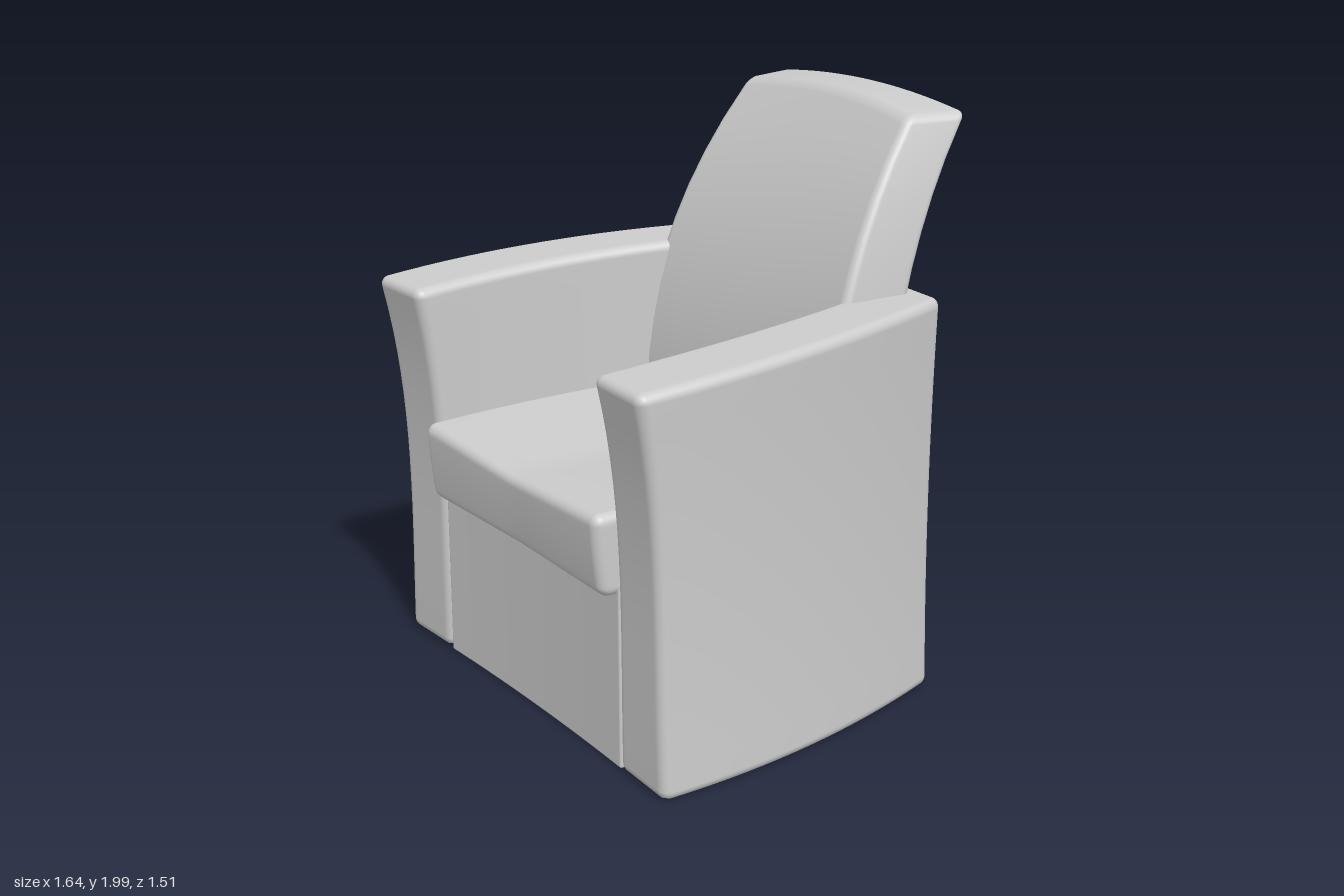
import * as THREE from 'three';
import { mergeVertices } from 'three/addons/utils/BufferGeometryUtils.js';

const material = new THREE.MeshStandardMaterial({ color: 0xcccccc, side: THREE.DoubleSide });
const lerp = THREE.MathUtils.lerp;

// Smooth polynomial through a few [t, value] points.
const through = (...pts) => (t) =>
  pts.reduce((sum, [a, va], i) =>
    sum + pts.reduce((k, [b], j) => (i === j ? k : (k * (t - b)) / (a - b)), va), 0);

// Cushion: a rounded box of nominal size whose points are bent by
// warp(u, v, w), u in -1..1 (across), v and w in 0..1 (up, back to front).
// An open cushion has no underside.
function cushion(name, [sx, sy, sz], r, open, warp) {
  const n = 24, k = 4;
  const geo = new THREE.BoxGeometry(1, 1, 1, n, n, n);
  geo.deleteAttribute('normal');
  geo.deleteAttribute('uv');
  if (open) {
    const { start, count } = geo.groups[3];
    const index = Array.from(geo.index.array);
    index.splice(start, count);
    geo.setIndex(index);
  }
  geo.clearGroups();
  const half = new THREE.Vector3(sx / 2, sy / 2, sz / 2);
  const core = half.clone().subScalar(r);
  const p = new THREE.Vector3(), inner = new THREE.Vector3();

  // The first and last k grid steps are spent on the rounded edge.
  const place = (t, c) => {
    const i = Math.round((t + 0.5) * n) - n / 2;
    const flat = n / 2 - k;
    const over = Math.abs(i) - flat;
    if (over <= 0) return (i / flat) * c;
    return Math.sign(i) * (c + r * Math.tan((over / k) * Math.PI / 4));
  };

  const pos = geo.attributes.position;
  for (let i = 0; i < pos.count; i++) {
    p.fromBufferAttribute(pos, i);
    p.set(place(p.x, core.x), place(p.y, core.y), place(p.z, core.z));
    inner.copy(p).clamp(core.clone().negate(), core);
    p.sub(inner).setLength(r).add(inner).divide(half);
    pos.setXYZ(i, ...warp(p.x, (p.y + 1) / 2, (p.z + 1) / 2));
  }
  const merged = mergeVertices(geo, 1e-5);
  merged.computeVertexNormals();
  const mesh = new THREE.Mesh(merged, material);
  mesh.name = name;
  return mesh;
}

// Plan curves of the arms, by z
const armInner = through([-0.55, 0.39], [-0.1, 0.502], [0.4, 0.55], [0.75, 0.543]);
const armOuter = through([-0.55, 0.64], [-0.1, 0.762], [0.4, 0.822], [0.75, 0.814]);
// Side curves of the arms
const armFront = through([0, 0.677], [0.45, 0.68], [0.8, 0.712], [1, 0.762]);
const armTop = through([0, 1.402], [0.5, 1.39], [1, 1.355]);

function arm(name, side) {
  return cushion(name, [0.26, 1.38, 1.27], 0.035, true, (u, v, w) => {
    const across = (1 + side * u) / 2;
    const z = lerp(-0.55, armFront(v), w) - lerp(0.012, 0, across);
    const outer = armOuter(z) - 0.07 * v * (1 - v);
    return [side * lerp(armInner(z), outer, across), lerp(0.015, armTop(w), v), z];
  });
}

// Side curves and half width of the backrest, by height
const backFront = through([0, -0.24], [0.9, -0.148], [1.43, -0.25], [2, -0.555]);
const backRear = through([0, -0.49], [0.7, -0.42], [1.4, -0.495], [2, -0.77]);
const backWidth = through([0, 0.49], [1.4, 0.543], [1.7, 0.521], [2, 0.49]);

function backrest() {
  return cushion('backrest', [1.05, 2, 0.25], 0.03, true, (u, v, w) => {
    const y = lerp(0.01, 2, v);
    const hollow = 0.03 * v * (1 - u * u) * w;
    return [
      u * (backWidth(y) - 0.05 * v * v * w),
      y - 0.035 * u * u * v ** 4,
      lerp(backRear(y), backFront(y), w) - hollow,
    ];
  });
}

// Seat cushion, dipping to a soft crease along the middle
const seatFront = through([0, 0.715], [0.5, 0.733], [1, 0.742]);

function seat() {
  return cushion('seatCushion', [1.08, 0.27, 1.03], 0.035, false, (u, v, w) => {
    const a = Math.abs(u);
    const z = lerp(-0.3, seatFront(v) - 0.015 * (1 - a), w);
    const top = 0.862 + a * lerp(0.05, 0.03, w);
    return [u * (armInner(z) - 0.002), lerp(0.612, top, v), z];
  });
}

// Thin apron closing the front below the seat
function frontPanel() {
  return cushion('frontPanel', [1.08, 0.64, 0.03], 0.008, false, (u, v, w) => {
    const z = lerp(0.63, 0.66, w) - 0.012 * (1 - u * u);
    return [u * armInner(z), lerp(0.015, 0.66, v), z];
  });
}

export function createModel() {
  const chair = new THREE.Group();
  chair.name = 'armchair';
  chair.add(frontPanel(), seat(), backrest(), arm('leftArm', 1), arm('rightArm', -1));
  return chair;
}
